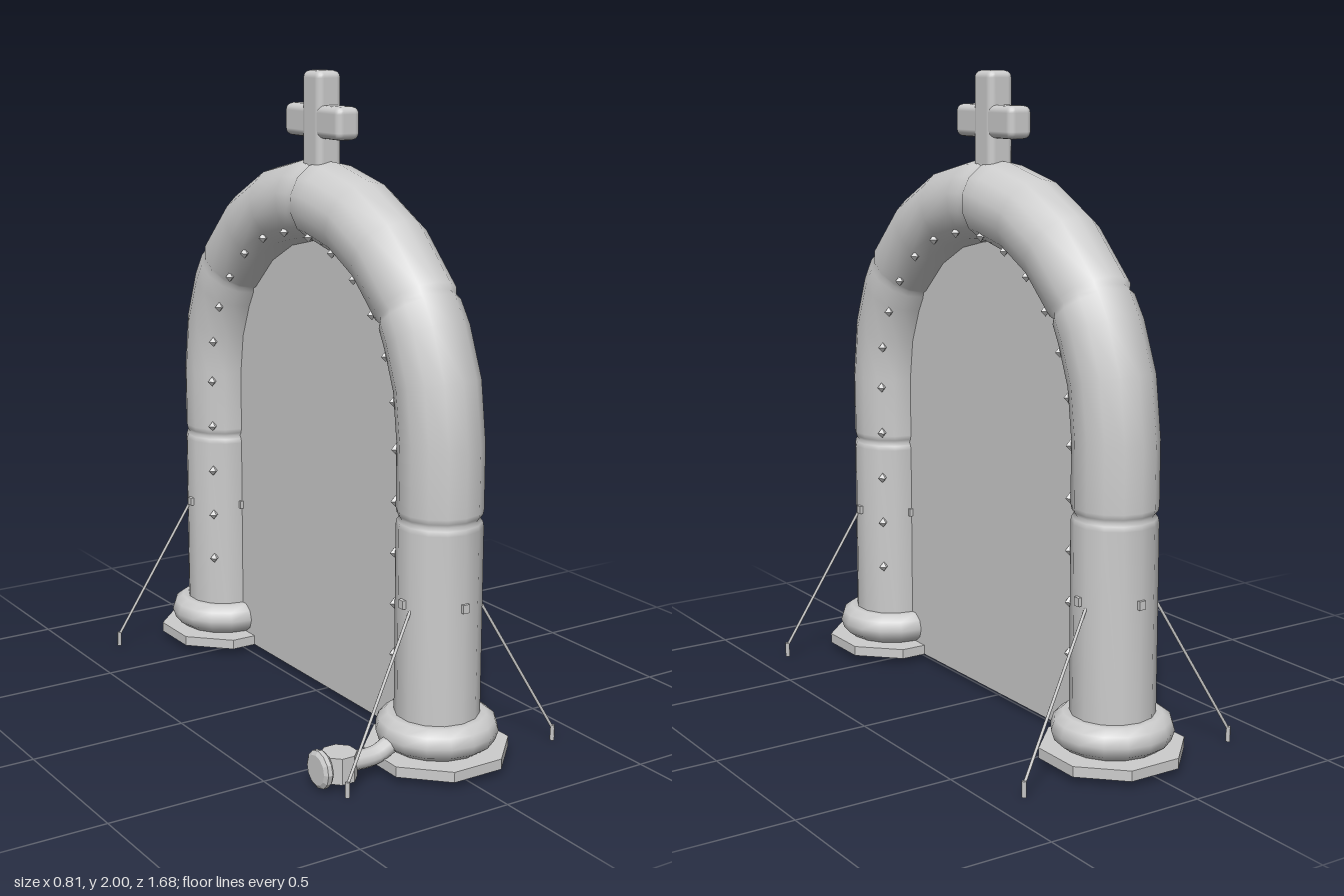
import * as THREE from 'three';
import { RoundedBoxGeometry } from 'three/addons/geometries/RoundedBoxGeometry.js';

const CX = 0.02;      // middle plane of the arch
const LEG = 0.633;    // leg distance from centre, also the bend radius
const SPRING = 0.97;  // height where the bend starts
const R = 0.128, SEAM = 0.118;
const SIDES = 14;

// Inflated tube: rings swept up one leg, over the bend and down the other
function archGeometry() {
  const legs = [[0.06, R], [0.725, R], [0.74, 0.125], [0.75, SEAM], [0.76, 0.125], [0.775, R]];
  const bend = [[0, R], [15, R], [28, R], [34.5, 0.126], [36, SEAM], [37.5, 0.126],
    [54.5, R], [70, R], [84, R], [88.8, 0.125]];
  const rings = [];
  const onLeg = (s) => ([y, r]) => ({ z: s * LEG, y, nz: s, ny: 0, r });
  const onBend = ([deg, r]) => {
    const a = THREE.MathUtils.degToRad(deg);
    const nz = Math.cos(a), ny = Math.sin(a);
    return { z: LEG * nz, y: SPRING + LEG * ny, nz, ny, r };
  };
  rings.push(...legs.map(onLeg(1)), ...bend.map(onBend), onBend([90, SEAM]));
  rings.push(...bend.map(([d, r]) => [180 - d, r]).reverse().map(onBend));
  rings.push(...legs.slice().reverse().map(onLeg(-1)));

  const pos = [], index = [];
  rings.forEach((k, i) => {
    for (let j = 0; j < SIDES; j++) {
      const t = (j / SIDES) * Math.PI * 2;
      const c = k.r * Math.cos(t);
      pos.push(CX + k.r * Math.sin(t), k.y + k.ny * c, k.z + k.nz * c);
      if (i === rings.length - 1) continue;
      const a = i * SIDES + j, b = i * SIDES + (j + 1) % SIDES;
      index.push(a, b, a + SIDES, b, b + SIDES, a + SIDES);
    }
  });
  const g = new THREE.BufferGeometry();
  g.setAttribute('position', new THREE.Float32BufferAttribute(pos, 3));
  g.setIndex(index);
  g.computeVertexNormals();
  return g;
}

export function createModel() {
  const model = new THREE.Group();
  const grey = new THREE.MeshStandardMaterial({ color: 0xcccccc, side: THREE.DoubleSide });
  grey.name = 'lightGrey';

  const add = (name, geometry, x = 0, y = 0, z = 0) => {
    const mesh = new THREE.Mesh(geometry, grey);
    mesh.name = name;
    mesh.position.set(x, y, z);
    model.add(mesh);
    return mesh;
  };
  // Thin rod between two points
  const rod = (name, a, b, radius) => {
    const d = b.clone().sub(a);
    const m = add(name, new THREE.CylinderGeometry(radius, radius, d.length(), 6));
    m.position.copy(a).addScaledVector(d, 0.5);
    m.quaternion.setFromUnitVectors(new THREE.Vector3(0, 1, 0), d.normalize());
  };

  add('archTube', archGeometry());

  // Flat sheet filling the opening
  const sheet = new THREE.Shape();
  sheet.moveTo(-0.6, 0.02);
  sheet.lineTo(0.6, 0.02);
  sheet.lineTo(0.6, SPRING);
  sheet.absarc(0, SPRING, 0.6, 0, Math.PI, false);
  sheet.lineTo(-0.6, 0.02);
  add('backSheet', new THREE.ShapeGeometry(sheet, 12).rotateY(Math.PI / 2), CX);

  // Cross on top
  add('crossStem', new RoundedBoxGeometry(0.088, 0.31, 0.1, 2, 0.022), CX, 1.845, 0);
  add('crossArm', new RoundedBoxGeometry(0.084, 0.1, 0.31, 2, 0.022), CX, 1.847, 0);

  // Octagonal foot, with its flat sides along the axes
  const footGeo = new THREE.CylinderGeometry(0.222, 0.222, 0.032, 8).rotateY(Math.PI / 8).toNonIndexed();
  footGeo.computeVertexNormals();
  const collarGeo = new THREE.TorusGeometry(0.133, 0.052, 10, 16).rotateX(Math.PI / 2);
  const rivetGeo = new THREE.OctahedronGeometry(0.017);
  const tabGeo = new THREE.BoxGeometry(0.022, 0.026, 0.022);
  const pegGeo = new THREE.CylinderGeometry(0.007, 0.007, 0.048, 6);

  for (const s of [1, -1]) {
    add('footPlate', footGeo, CX, 0.036, s * LEG);
    add('footCollar', collarGeo, CX, 0.103, s * LEG);

    // Rope tabs on the four sides of the leg
    for (const [dx, dz] of [[1, 0], [-1, 0], [0, 1], [0, -1]]) {
      add('ropeTab', tabGeo, CX + dx * 0.125, 0.507, s * LEG + dz * 0.125);
    }

    for (const side of [1, -1]) {
      // Guy rope and peg
      rod('guyRope', new THREE.Vector3(CX + side * 0.12, 0.495, s * 0.66),
        new THREE.Vector3(CX + side * 0.375, 0.04, s * 0.72), 0.005);
      add('groundPeg', pegGeo, CX + side * 0.375, 0.025, s * 0.72);

      // Rivets along the inner edge of the tube
      const rx = CX + side * 0.092;
      for (let i = 0; i < 5; i++) add('rivet', rivetGeo, rx, 0.32 + i * 0.156, s * 0.54);
      for (let i = 0; i < 6; i++) {
        const a = THREE.MathUtils.degToRad(12 + i * 14.1);
        add('rivet', rivetGeo, rx, SPRING + 0.54 * Math.sin(a), s * 0.54 * Math.cos(a));
      }
    }
  }

  // Air blower joined to the front leg by a short hose
  const hose = new THREE.CatmullRomCurve3([
    new THREE.Vector3(-0.1, 0.09, 0.63), new THREE.Vector3(-0.15, 0.08, 0.63),
    new THREE.Vector3(-0.2, 0.06, 0.63), new THREE.Vector3(-0.3, 0.06, 0.63),
  ]);
  add('airHose', new THREE.TubeGeometry(hose, 10, 0.029, 10), 0, 0, 0);
  const bodyGeo = new THREE.CylinderGeometry(0.054, 0.054, 0.08, 8).rotateY(Math.PI / 8).toNonIndexed();
  bodyGeo.computeVertexNormals();
  add('blowerBody', bodyGeo, -0.325, 0.06, 0.63);
  const intake = [[0, 0], [0.03, 0], [0.05, 0.008], [0.057, 0.016], [0.057, 0.03], [0.045, 0.038], [0, 0.038]]
    .map(([r, h]) => new THREE.Vector2(r, h));
  const intakeGeo = new THREE.LatheGeometry(intake, 12).rotateZ(Math.PI / 2).toNonIndexed();
  intakeGeo.computeVertexNormals();
  add('blowerIntake', intakeGeo, -0.367, 0.062, 0.63);

  return model;
}
